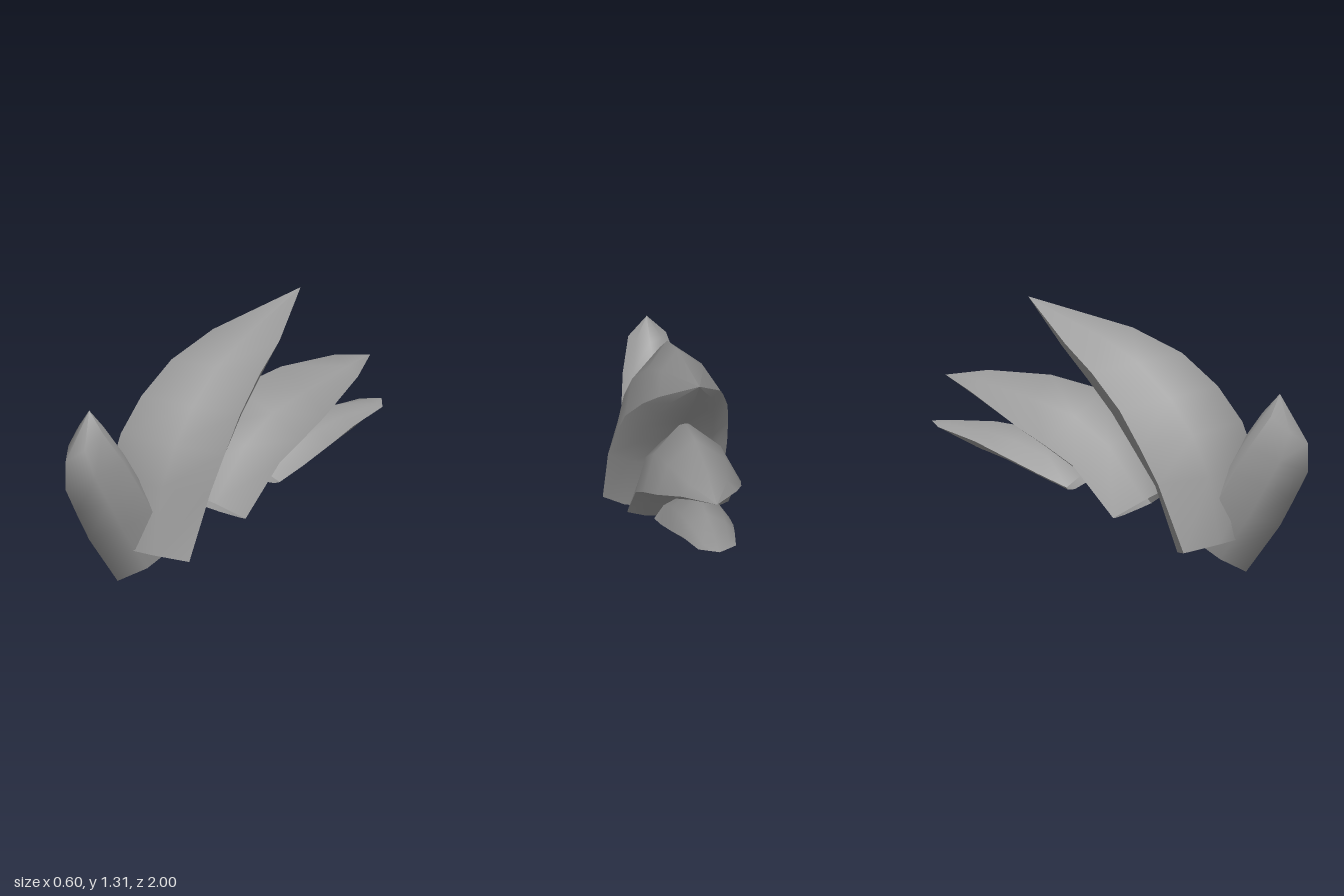
import * as THREE from 'three';
import { mergeGeometries } from 'three/addons/utils/BufferGeometryUtils.js';

// Arched cross-section, edge to edge: [share of half-width, share of depth]
const SECTION = [[-1, 0], [-0.68, 0.56], [0, 1], [0.68, 0.56], [1, 0]];

// One row of points from edge over the ridge to the other edge
function row(edge, ridge, w, side) {
  return SECTION.map(([u, d]) => new THREE.Vector3(
    u * w * side,
    THREE.MathUtils.lerp(edge[1], ridge[1], d),
    THREE.MathUtils.lerp(edge[0], ridge[0], d),
  ));
}

// Smooth sheet through a list of rows, closing to a point at the last one
function sheet(rows) {
  const n = SECTION.length, index = [];
  for (let i = 0; i < rows.length - 1; i++) {
    for (let j = 0; j < n - 1; j++) {
      const a = i * n + j, b = a + 1, c = b + n, d = a + n;
      index.push(a, b, c);
      if (i < rows.length - 2) index.push(a, c, d);
    }
  }
  const g = new THREE.BufferGeometry().setFromPoints(rows.flat());
  g.setIndex(index);
  g.computeVertexNormals();
  return g;
}

// Hollow blade, open at the base, with a sharp edge between front and back sheets.
// Stations run base to tip: [front ridge, side edge, back ridge, half-width], points as [z, y]
function blade(name, stations, material) {
  const front = stations.map(([f, e, , w]) => row(e, f, w, 1));
  const back = stations.map(([, e, b, w]) => row(e, b, w, -1));
  const mesh = new THREE.Mesh(mergeGeometries([sheet(front), sheet(back)]), material);
  mesh.name = name;
  return mesh;
}

const BLADES = {
  frontBlade: [
    [[0.67, 0], [0.467, 0.17], [0.40, 0.225], 0.18],
    [[0.85, 0.24], [0.59, 0.375], [0.51, 0.43], 0.177],
    [[0.93, 0.385], [0.67, 0.52], [0.59, 0.55], 0.163],
    [[1.0, 0.52], [0.745, 0.65], [0.67, 0.68], 0.142],
    [[1.0, 0.66], [0.84, 0.80], [0.757, 0.80], 0.095],
    [[0.85, 0.9], [0.85, 0.9], [0.85, 0.9], 0],
  ],
  mainBlade: [
    [[0.727, 0.192], [0.457, 0.123], [0.33, 0.10], 0.30],
    [[0.735, 0.53], [0.323, 0.455], [0.225, 0.42], 0.30],
    [[0.65, 0.75], [0.22, 0.63], [0.09, 0.60], 0.284],
    [[0.52, 0.92], [0.10, 0.81], [-0.03, 0.76], 0.258],
    [[0.33, 1.075], [-0.07, 0.98], [-0.16, 0.91], 0.203],
    [[0.067, 1.187], [-0.23, 1.11], [-0.295, 1.075], 0.155],
    [[-0.488, 1.31], [-0.488, 1.31], [-0.488, 1.31], 0],
  ],
  middleBlade: [
    [[0.30, 0.42], [0.065, 0.27], [0.02, 0.245], 0.255],
    [[0.13, 0.69], [-0.15, 0.52], [-0.17, 0.465], 0.255],
    [[-0.08, 0.865], [-0.30, 0.61], [-0.36, 0.585], 0.246],
    [[-0.365, 0.925], [-0.47, 0.695], [-0.51, 0.67], 0.213],
    [[-0.70, 0.93], [-0.74, 0.84], [-0.74, 0.80], 0.138],
    [[-0.928, 0.893], [-0.928, 0.893], [-0.928, 0.893], 0],
  ],
  rearBlade: [
    [[-0.14, 0.475], [-0.215, 0.395], [-0.24, 0.36], 0.175],
    [[-0.30, 0.59], [-0.37, 0.455], [-0.39, 0.42], 0.172],
    [[-0.48, 0.655], [-0.56, 0.53], [-0.57, 0.49], 0.155],
    [[-0.66, 0.675], [-0.72, 0.59], [-0.73, 0.53], 0.13],
    [[-0.90, 0.668], [-0.93, 0.645], [-0.91, 0.62], 0.095],
    [[-1.0, 0.66], [-1.0, 0.66], [-1.0, 0.66], 0],
  ],
};

export function createModel() {
  const group = new THREE.Group();
  group.name = 'curvedBladeCrest';
  const material = new THREE.MeshStandardMaterial({ color: 0x989898, side: THREE.DoubleSide });
  for (const [name, stations] of Object.entries(BLADES)) {
    group.add(blade(name, stations, material));
  }
  return group;
}
